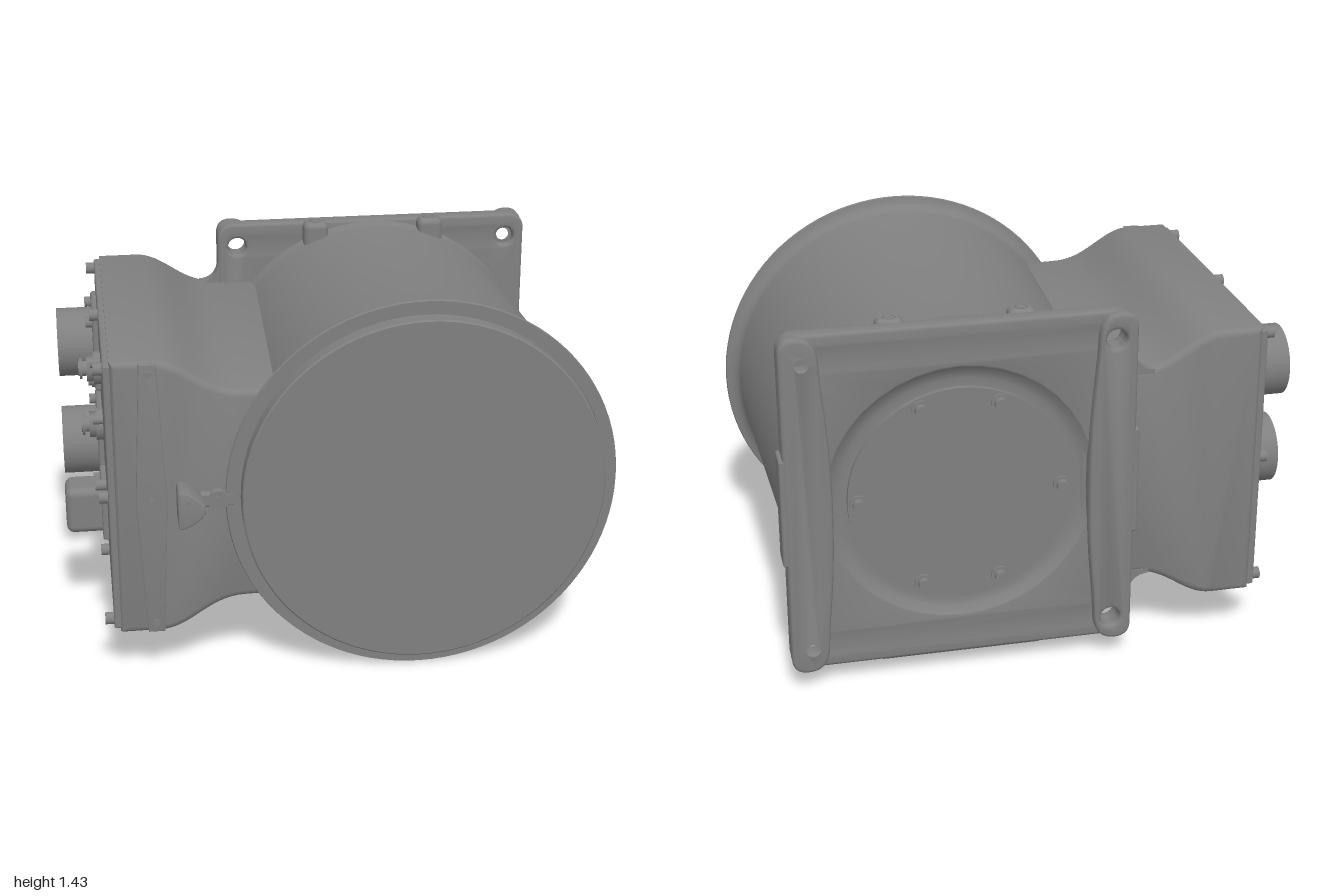
import * as THREE from 'three';
import { toCreasedNormals } from 'three/addons/utils/BufferGeometryUtils.js';
import { RoundedBoxGeometry } from 'three/addons/geometries/RoundedBoxGeometry.js';

const CX = 0.285, CY = 0.715; // axis of the drum

export function createModel() {
  const group = new THREE.Group();
  const grey = new THREE.MeshStandardMaterial({ color: 0x808080 });
  grey.name = 'housing grey';

  const add = (name, geo, x = 0, y = 0, z = 0) => {
    const mesh = new THREE.Mesh(geo, grey);
    mesh.name = name;
    mesh.position.set(x, y, z);
    group.add(mesh);
    return mesh;
  };
  // Extrusion between two z planes, with rounded edges kept inside the outline
  const extrude = (shape, z0, z1, bevel = 0.012) => {
    const geo = new THREE.ExtrudeGeometry(shape, {
      depth: z1 - z0 - 2 * bevel, bevelEnabled: bevel > 0, bevelThickness: bevel,
      bevelSize: bevel, bevelOffset: -bevel, bevelSegments: 3, curveSegments: 20,
    });
    geo.translate(0, 0, z0 + bevel);
    return toCreasedNormals(geo, 0.6);
  };
  // Turned part: [radius, z] pairs, back to front
  const turned = (pts, segments = 96) => {
    const geo = new THREE.LatheGeometry(pts.map(p => new THREE.Vector2(...p)), segments);
    geo.rotateX(Math.PI / 2);
    return toCreasedNormals(geo, 0.6);
  };
  const rod = (axis, r, length, sides = 24) => {
    const geo = new THREE.CylinderGeometry(r, r, length, sides);
    if (axis === 'x') geo.rotateZ(Math.PI / 2);
    if (axis === 'z') geo.rotateX(Math.PI / 2);
    return geo;
  };
  const roundRect = (x0, y0, x1, y1, r) => {
    const s = new THREE.Shape();
    s.absarc(x1 - r, y1 - r, r, 0, Math.PI / 2);
    s.absarc(x0 + r, y1 - r, r, Math.PI / 2, Math.PI);
    s.absarc(x0 + r, y0 + r, r, Math.PI, Math.PI * 1.5);
    s.absarc(x1 - r, y0 + r, r, Math.PI * 1.5, Math.PI * 2);
    s.closePath();
    return s;
  };
  const hole = (shape, x, y, r) =>
    shape.holes.push(new THREE.Path().absarc(x, y, r, 0, Math.PI * 2, true));

  // Tapered drum with flared front rim and front cover
  add('drum', turned([
    [0, -0.62], [0.6, -0.62], [0.64, -0.6], [0.637, -0.575], [0.632, -0.555], [0.63, -0.53],
    [0.662, 0.54], [0.667, 0.565], [0.68, 0.58], [0.697, 0.589], [0.712, 0.592], [0.715, 0.6],
    [0.712, 0.609], [0.667, 0.609], [0.667, 0.598], [0.66, 0.598],
    [0.66, 0.655], [0.655, 0.66], [0, 0.66],
  ]), CX, CY, 0);

  // Square mounting plate with corner holes and a round recess
  const plate = roundRect(-0.628, -0.64, 0.628, 0.645, 0.06);
  for (const sx of [-1, 1]) for (const sy of [-1, 1]) hole(plate, sx * 0.55, sy * 0.55, 0.037);
  hole(plate, 0, 0, 0.48);
  add('mountingPlate', extrude(plate, -0.66, -0.59), CX, CY);

  // Raised side strips on the back of the plate
  for (const sx of [-1, 1]) {
    const strip = new THREE.Shape();
    strip.moveTo(sx * 0.57, 0.645);
    strip.quadraticCurveTo(sx * 0.628, 0.645, sx * 0.628, 0.585);
    strip.lineTo(sx * 0.628, -0.58);
    strip.quadraticCurveTo(sx * 0.628, -0.64, sx * 0.57, -0.64);
    strip.quadraticCurveTo(sx * 0.495, -0.64, sx * 0.49, -0.55);
    strip.bezierCurveTo(sx * 0.485, -0.4, sx * 0.46, -0.3, sx * 0.46, 0);
    strip.bezierCurveTo(sx * 0.46, 0.3, sx * 0.485, 0.4, sx * 0.49, 0.55);
    strip.quadraticCurveTo(sx * 0.495, 0.645, sx * 0.57, 0.645);
    for (const sy of [-1, 1]) hole(strip, sx * 0.55, sy * 0.55, 0.037);
    add('plateStrip', extrude(strip, -0.695, -0.63), CX, CY);
    add('platePad', new RoundedBoxGeometry(0.04, 0.41, 0.105, 2, 0.008), CX + sx * 0.622, CY, -0.64);
  }

  // Round back cover in its groove, with six screws
  add('backCover', turned([
    [0, -0.655], [0.405, -0.655], [0.405, -0.636], [0.435, -0.634], [0.46, -0.64], [0.485, -0.659],
  ]), CX, CY);
  for (const deg of [0, 67.5, 112.5, 180, 247.5, 292.5]) {
    const a = deg * Math.PI / 180;
    const x = CX + 0.367 * Math.cos(a), y = CY + 0.367 * Math.sin(a);
    add('coverScrewWasher', rod('z', 0.032, 0.01), x, y, -0.659);
    add('coverScrew', rod('z', 0.022, 0.035), x, y, -0.672);
  }

  // Threaded bosses on top, drilled rail underneath
  for (const x of [0.05, 0.515]) {
    add('topBoss', new RoundedBoxGeometry(0.1, 0.14, 0.08, 3, 0.025), x, 1.3, -0.57);
    add('bossRing', new THREE.TorusGeometry(0.02, 0.004, 6, 24).rotateX(Math.PI / 2), x, 1.37, -0.57);
  }
  add('bottomRail', new RoundedBoxGeometry(0.6, 0.09, 0.115, 2, 0.012), CX, 0.11, -0.59);
  for (const x of [0.04, 0.13, 0.44, 0.53])
    add('railHoleRim', new THREE.TorusGeometry(0.015, 0.004, 6, 20).rotateX(Math.PI / 2), x, 0.065, -0.59);

  // Electronics housing that necks down into the drum
  const box = new THREE.Shape();
  box.moveTo(-0.82, CY + 0.528);
  box.lineTo(-0.67, CY + 0.528);
  box.bezierCurveTo(-0.56, CY + 0.525, -0.5, CY + 0.41, -0.37, CY + 0.405);
  box.lineTo(-0.15, CY + 0.4);
  box.lineTo(-0.15, CY - 0.4);
  box.lineTo(-0.37, CY - 0.405);
  box.bezierCurveTo(-0.5, CY - 0.41, -0.56, CY - 0.525, -0.67, CY - 0.528);
  box.lineTo(-0.82, CY - 0.528);
  box.closePath();
  add('sideHousing', extrude(box, -0.645, 0.588, 0.025));
  // Fillets between neck and mounting plate
  for (const s of [-1, 1]) {
    const f = new THREE.Shape();
    f.moveTo(-0.42, CY + s * 0.39);
    f.lineTo(-0.42, CY + s * 0.408);
    f.quadraticCurveTo(-0.35, CY + s * 0.41, -0.343, CY + s * 0.49);
    f.lineTo(-0.28, CY + s * 0.49);
    f.lineTo(-0.28, CY + s * 0.39);
    f.closePath();
    add('neckFillet', extrude(f, -0.645, -0.595, 0));
  }

  // Connector panel and its eight bolts
  add('connectorPanel', new RoundedBoxGeometry(0.03, 1.03, 1.2, 2, 0.008), -0.828, CY, -0.03);
  for (const z of [-0.59, -0.03, 0.53]) for (const dy of [-0.49, 0, 0.49]) {
    if (z === -0.03 && dy === 0) continue;
    add('panelBolt', rod('x', 0.022, 0.04), -0.855, CY + dy, z);
  }

  // Large round connectors on square flanges
  for (const [y, z] of [[0.99, -0.335], [0.6, -0.275]]) {
    add('connectorFlange', new RoundedBoxGeometry(0.03, 0.31, 0.31, 2, 0.012), -0.85, y, z);
    add('largeConnector', rod('x', 0.133, 0.15, 48), -0.925, y, z);
    for (const sy of [-1, 1]) for (const sz of [-1, 1])
      add('flangeScrew', rod('x', 0.02, 0.035), -0.872, y + sy * 0.12, z + sz * 0.12);
  }
  // Rectangular connector
  add('boxConnectorFlange', new RoundedBoxGeometry(0.03, 0.23, 0.2, 2, 0.01), -0.85, 0.48, 0.075);
  add('boxConnector', new RoundedBoxGeometry(0.16, 0.185, 0.15, 3, 0.03), -0.92, 0.478, 0.075);
  for (const s of [-1, 1])
    add('boxConnectorScrew', rod('x', 0.02, 0.04), -0.865, 0.48 + s * 0.12, 0.075 + s * 0.1);
  // Small coaxial connectors
  for (const [y, z] of [[1.03, 0.065], [0.755, -0.05]]) {
    add('coaxFlange', rod('x', 0.062, 0.03), -0.855, y, z);
    add('coaxNut', rod('x', 0.05, 0.03, 6), -0.88, y, z);
    add('coaxBarrel', rod('x', 0.028, 0.05), -0.9, y, z);
    add('coaxCollar', rod('x', 0.04, 0.01), -0.916, y, z);
    for (const s of [-1, 1])
      add('coaxScrew', rod('x', 0.018, 0.04), -0.862, y + s * 0.055, z + s * 0.09);
  }

  // Tapered strip and screws on the front of the housing
  const cover = new THREE.Shape();
  [[-0.72, 1.238], [-0.747, CY], [-0.72, 0.192], [-0.66, 0.192], [-0.635, CY], [-0.66, 1.238]]
    .forEach(([x, y], i) => (i ? cover.lineTo(x, y) : cover.moveTo(x, y)));
  cover.closePath();
  add('frontStrip', extrude(cover, 0.57, 0.596, 0.004));
  for (const y of [0.23, CY, 1.2]) add('stripScrew', rod('z', 0.013, 0.02), -0.69, y, 0.592);

  // Triangular lug with pins and its arm to the rim
  const lug = new THREE.Shape();
  lug.moveTo(-0.603, 0.66);
  lug.quadraticCurveTo(-0.6, 0.64, -0.58, 0.647);
  lug.quadraticCurveTo(-0.54, 0.66, -0.507, 0.7);
  lug.lineTo(-0.507, 0.73);
  lug.quadraticCurveTo(-0.54, 0.77, -0.58, 0.785);
  lug.quadraticCurveTo(-0.6, 0.79, -0.603, 0.77);
  lug.closePath();
  add('frontLug', extrude(lug, 0.57, 0.692, 0.005));
  for (const y of [0.682, 0.748]) add('lugPin', rod('z', 0.009, 0.01), -0.567, y, 0.691);
  add('lugArm', new RoundedBoxGeometry(0.14, 0.055, 0.05, 2, 0.01), -0.46, CY, 0.585);
  add('armBoss', rod('z', 0.038, 0.05), -0.457, CY, 0.59);
  add('armScrew', rod('z', 0.02, 0.02, 6), -0.457, CY, 0.612);

  return group;
}
